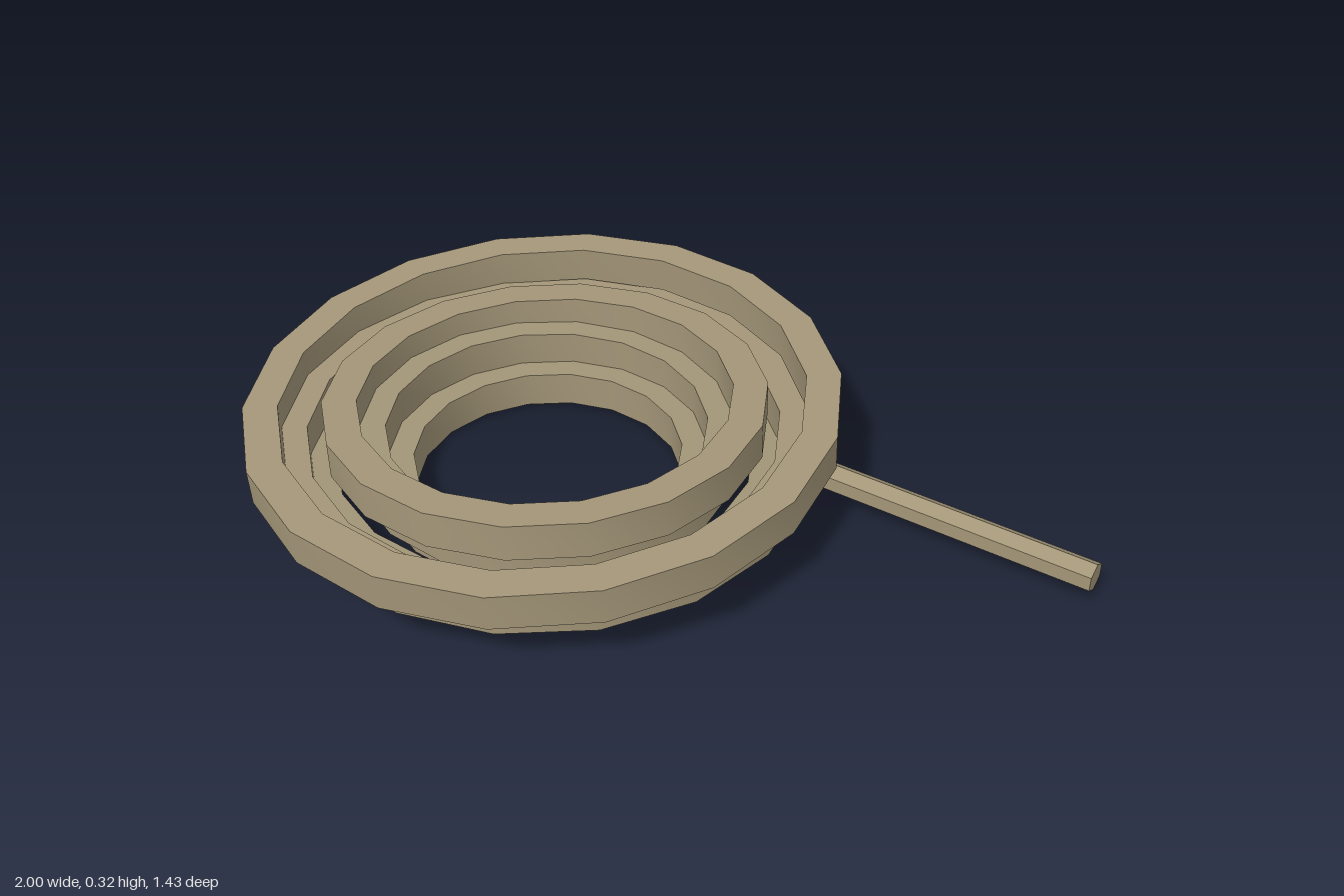
import * as THREE from 'three';
import { toCreasedNormals } from 'three/addons/utils/BufferGeometryUtils.js';

const material = new THREE.MeshStandardMaterial({ color: 0xa39678 });
const WIDTH = 0.085;
const HALF_HEIGHT = 0.046;

// One 18-sided coil with a rectangular section, centred on its own axis
function coil(name, outer, x, y, z, tiltX, tiltZ) {
  const inner = outer - WIDTH;
  const profile = [
    [inner, -HALF_HEIGHT], [outer, -HALF_HEIGHT],
    [outer, HALF_HEIGHT], [inner, HALF_HEIGHT], [inner, -HALF_HEIGHT],
  ].map(([r, h]) => new THREE.Vector2(r, h));
  const lathe = new THREE.LatheGeometry(profile, 18, Math.PI / 2);
  const mesh = new THREE.Mesh(toCreasedNormals(lathe, 0.6), material);
  mesh.name = name;
  mesh.position.set(x, y, z);
  mesh.rotation.set(tiltX, 0, tiltZ);
  return mesh;
}

export function createModel() {
  const group = new THREE.Group();
  group.name = 'ropeCoil';

  // Slight tilts [x, z] of each layer, bottom to top
  const outerTilts = [[-0.032, -0.004], [0.023, 0.002], [0.038, 0.034]];
  const innerTilts = [[0.005, 0.005], [0.01, -0.01], [-0.03, 0.015]];

  // Three layers, each an outer and an inner coil, widening upwards
  for (let i = 0; i < 3; i++) {
    const y = 0.065 + i * 0.085;
    const grow = i * 0.0625;
    group.add(coil(`outerCoil${i + 1}`, 0.6 + grow, -0.275, y, 0, ...outerTilts[i]));
    group.add(coil(`innerCoil${i + 1}`, 0.418 + grow, -0.27, y - 0.015, -0.012, ...innerTilts[i]));
  }

  // Loose straight end: a six-sided rod leaving the bottom layer
  const start = new THREE.Vector3(0.315, 0.063, 0.01);
  const end = new THREE.Vector3(0.975, 0.063, 0.505);
  const rod = new THREE.CylinderGeometry(0.037, 0.037, start.distanceTo(end), 6);
  rod.rotateY(Math.PI / 6);
  rod.rotateX(Math.PI / 2);
  // flat faces above and below
  rod.rotateZ(Math.PI / 6);
  const looseEnd = new THREE.Mesh(toCreasedNormals(rod, 0.6), material);
  looseEnd.name = 'looseEnd';
  looseEnd.position.copy(start).lerp(end, 0.5);
  looseEnd.rotation.y = Math.atan2(end.x - start.x, end.z - start.z);
  group.add(looseEnd);

  return group;
}
